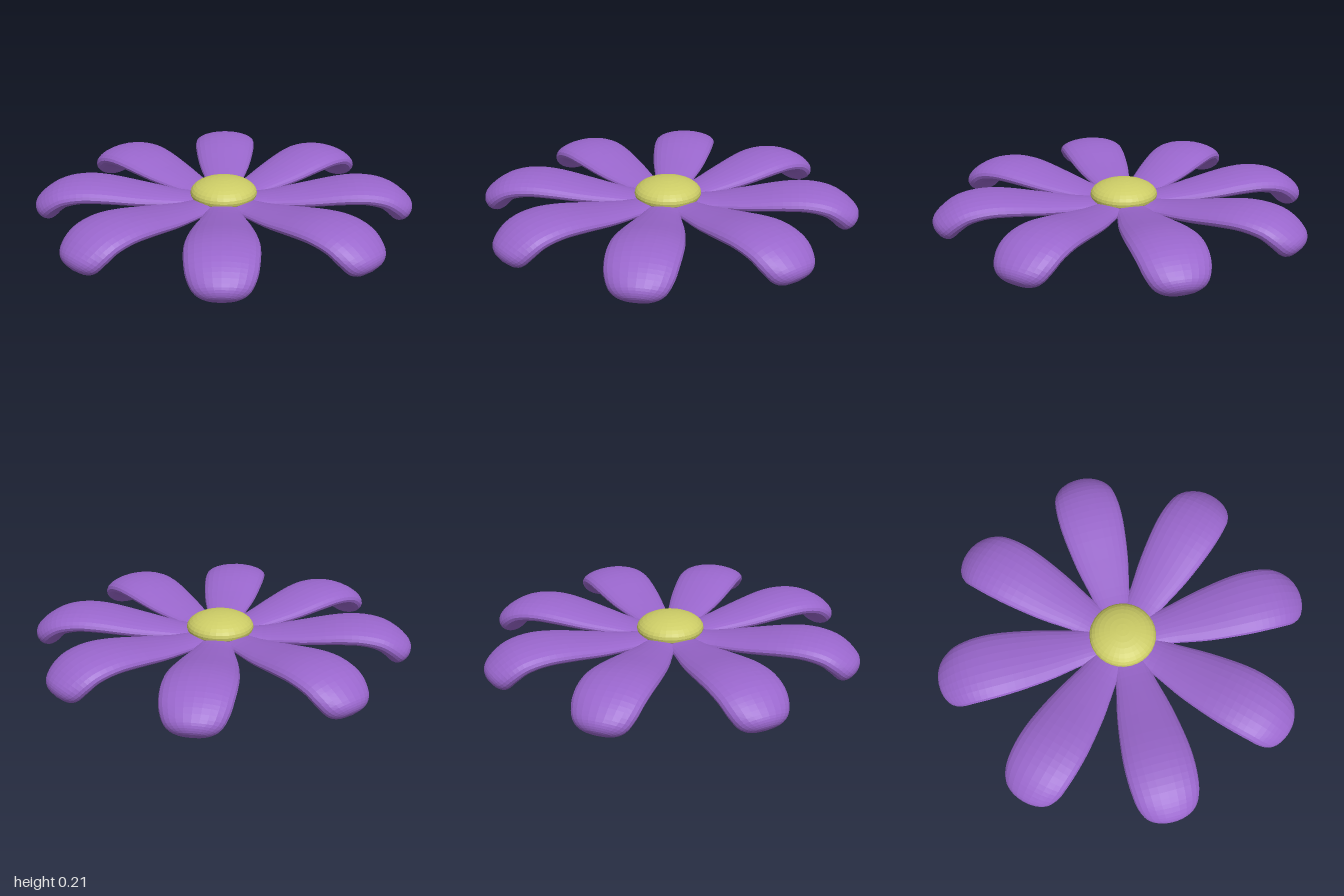
import * as THREE from 'three';

const PETALS = 8, RINGS = 30, SIDES = 24;

// petal sections from root to tip: [radius, height, half width, half thickness]
const SECTIONS = [
  [0.12, 0.10, 0.085, 0.022],
  [0.24, 0.105, 0.10, 0.03],
  [0.42, 0.125, 0.14, 0.042],
  [0.60, 0.15, 0.166, 0.052],
  [0.72, 0.156, 0.173, 0.055],
  [0.82, 0.138, 0.168, 0.06],
  [0.885, 0.10, 0.155, 0.066],
  [0.93, 0.056, 0.125, 0.066],
  [0.953, 0.034, 0.075, 0.043],
  [0.96, 0.027, 0, 0],
];

// elliptical sections swept along an arched line that droops at the tip
function petalGeometry() {
  const curve = (a, b) => new THREE.CatmullRomCurve3(
    SECTIONS.map((s) => new THREE.Vector3(s[a], s[b], 0)), false, 'catmullrom', 0.5);
  const spine = curve(0, 1), size = curve(2, 3);
  const pos = [], index = [];
  const addRing = (t, scale) => {
    const c = spine.getPoint(t), d = spine.getTangent(t), s = size.getPoint(t);
    for (let j = 0; j < SIDES; j++) {
      const a = (j / SIDES) * Math.PI * 2;
      const up = Math.sin(a) * s.y * scale;
      pos.push(c.x - d.y * up, c.y + d.x * up, Math.cos(a) * s.x * scale);
    }
  };
  addRing(0, 0); // closes the root
  for (let i = 0; i <= RINGS; i++) addRing(i / RINGS, 1);
  for (let i = 0; i <= RINGS; i++) {
    for (let j = 0; j < SIDES; j++) {
      const k = (j + 1) % SIDES;
      const a = i * SIDES + j, b = i * SIDES + k, c = a + SIDES, d = b + SIDES;
      if (i < RINGS) index.push(a, c, d);
      if (i > 0) index.push(a, d, b);
    }
  }
  const geo = new THREE.BufferGeometry();
  geo.setAttribute('position', new THREE.Float32BufferAttribute(pos, 3));
  geo.setIndex(index);
  geo.computeVertexNormals();
  return geo;
}

export function createModel() {
  const flower = new THREE.Group();
  flower.name = 'flower';

  // ring of petals
  const purple = new THREE.MeshStandardMaterial({ color: 0x9966cc, flatShading: true });
  const geo = petalGeometry();
  for (let i = 0; i < PETALS; i++) {
    const petal = new THREE.Mesh(geo, purple);
    petal.name = 'petal' + (i + 1);
    petal.rotation.y = (i / PETALS) * Math.PI * 2;
    flower.add(petal);
  }

  // flattened button in the middle
  const yellow = new THREE.MeshStandardMaterial({ color: 0xcccc66, flatShading: true });
  const center = new THREE.Mesh(new THREE.SphereGeometry(0.174, 32, 16), yellow);
  center.name = 'flowerCenter';
  center.scale.y = 0.43;
  center.position.y = 0.137;
  flower.add(center);

  return flower;
}
